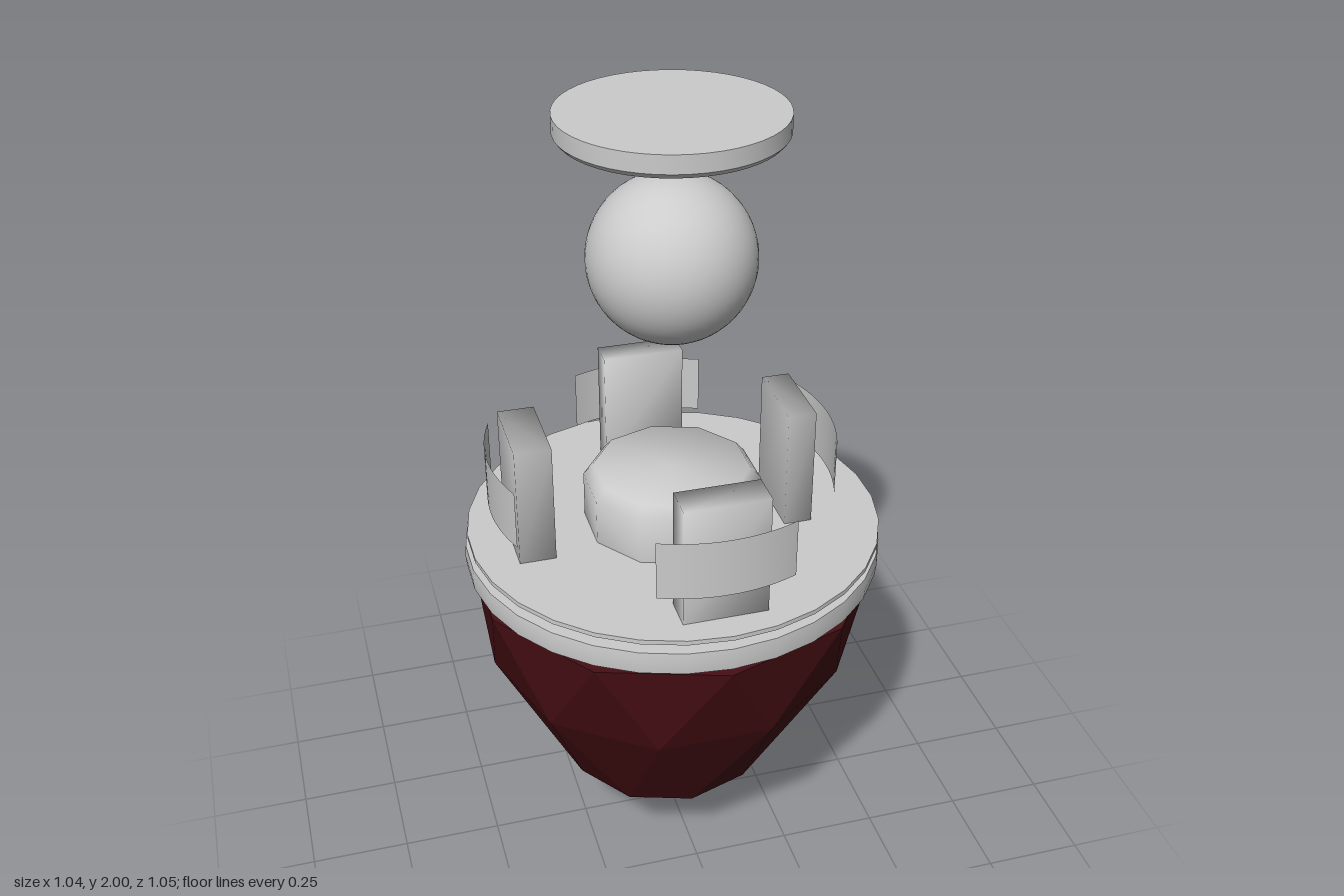
import * as THREE from 'three';
import { mergeVertices, toCreasedNormals } from 'three/addons/utils/BufferGeometryUtils.js';

const grey = new THREE.MeshStandardMaterial({ color: 0xcccccc });
const greyThin = new THREE.MeshStandardMaterial({ color: 0xcccccc, side: THREE.DoubleSide });
const darkRed = new THREE.MeshStandardMaterial({ color: 0x450e13, flatShading: true });

function addMesh(parent, name, geometry, material = grey) {
  const mesh = new THREE.Mesh(geometry, material);
  mesh.name = name;
  parent.add(mesh);
  return mesh;
}

// Turned solid with crisp edges; profile runs from bottom axis to top axis
function turned(profile, sides, crease = 0.5) {
  const points = profile.map(([r, y]) => new THREE.Vector2(r, y));
  return toCreasedNormals(new THREE.LatheGeometry(points, sides), crease);
}

// Box whose corners share normals, giving soft shading
function softBox(w, h, d) {
  const box = new THREE.BoxGeometry(w, h, d);
  box.deleteAttribute('normal');
  box.deleteAttribute('uv');
  const merged = mergeVertices(box);
  merged.computeVertexNormals();
  return merged;
}

// Faceted hull: ten-sided rings, each turned half a step from the one above
function hullGeometry() {
  const n = 10;
  const rings = [
    { y: 0.83, r: 0.11, x: 0, turn: 0 },
    { y: 0.83, r: 0.52, x: 0, turn: 0 },
    { y: 0.57, r: 0.462, x: -0.012, turn: 0.5 },
    { y: 0.22, r: 0.265, x: -0.02, turn: 1 },
  ];
  const positions = [];
  const index = [];
  for (const { y, r, x, turn } of rings) {
    for (let i = 0; i < n; i++) {
      const a = ((i + turn) / n) * Math.PI * 2;
      positions.push(x + r * Math.sin(a), y, r * Math.cos(a));
    }
  }
  const peak = positions.length / 3;
  positions.push(0, 0.845, 0, 0, 0, 0);
  const last = (rings.length - 1) * n;
  for (let i = 0; i < n; i++) {
    const j = (i + 1) % n;
    index.push(peak, i, j);
    for (let k = 0; k < last; k += n) {
      index.push(k + i, k + n + i, k + j, k + n + i, k + n + j, k + j);
    }
    index.push(last + i, peak + 1, last + j);
  }
  const geometry = new THREE.BufferGeometry();
  geometry.setAttribute('position', new THREE.Float32BufferAttribute(positions, 3));
  geometry.setIndex(index);
  geometry.computeVertexNormals();
  return geometry;
}

export function createModel() {
  const model = new THREE.Group();
  model.name = 'floatingShrine';

  addMesh(model, 'hull', hullGeometry(), darkRed);

  // Two stacked round plates with a narrow gap
  addMesh(model, 'lowerPlate', turned(
    [[0, 0.85], [0.52, 0.85], [0.523, 0.88], [0.52, 0.908], [0, 0.908]], 30));
  addMesh(model, 'deck', new THREE.CylinderGeometry(0.517, 0.517, 0.012, 30))
    .position.set(0.003, 0.936, 0);

  // Low drum in the middle of the deck
  addMesh(model, 'drum', turned(
    [[0, 0.942], [0.22, 0.942], [0.22, 1.06], [0.195, 1.09], [0, 1.09]], 10, 1.0));

  // Four posts, each with a thin curved shield outside it
  const reach = 0.43;
  const halfAngle = Math.asin(0.167 / reach);
  const sides = [
    { name: 'front', x: 0.005, z: 0.402, depth: 0.085, turn: 0, sx: 0.005, sz: 0.047 },
    { name: 'back', x: 0.005, z: -0.32, depth: 0.07, turn: Math.PI, sx: 0.005, sz: 0.047 },
    { name: 'left', x: 0.295, z: 0.012, depth: 0.07, turn: Math.PI / 2, sx: -0.027, sz: -0.005 },
    { name: 'right', x: -0.365, z: 0.002, depth: 0.09, turn: -Math.PI / 2, sx: -0.027, sz: -0.005 },
  ];
  for (const s of sides) {
    const post = addMesh(model, s.name + 'Post', softBox(0.207, 0.31, s.depth));
    post.position.set(s.x, 1.095, s.z);
    post.rotation.y = s.turn;
    const shield = addMesh(model, s.name + 'Shield', new THREE.CylinderGeometry(
      reach, reach, 0.15, 16, 1, true, -halfAngle, halfAngle * 2), greyThin);
    shield.position.set(s.sx, 1.105, s.sz);
    shield.rotation.y = s.turn;
  }

  // Floating ball and the disc above it
  addMesh(model, 'ball', new THREE.SphereGeometry(0.2, 48, 32)).position.y = 1.65;
  addMesh(model, 'topDisc', turned(
    [[0, 1.94], [0.23, 1.94], [0.255, 1.945], [0.265, 1.957], [0.265, 2], [0, 2]], 48));

  return model;
}
